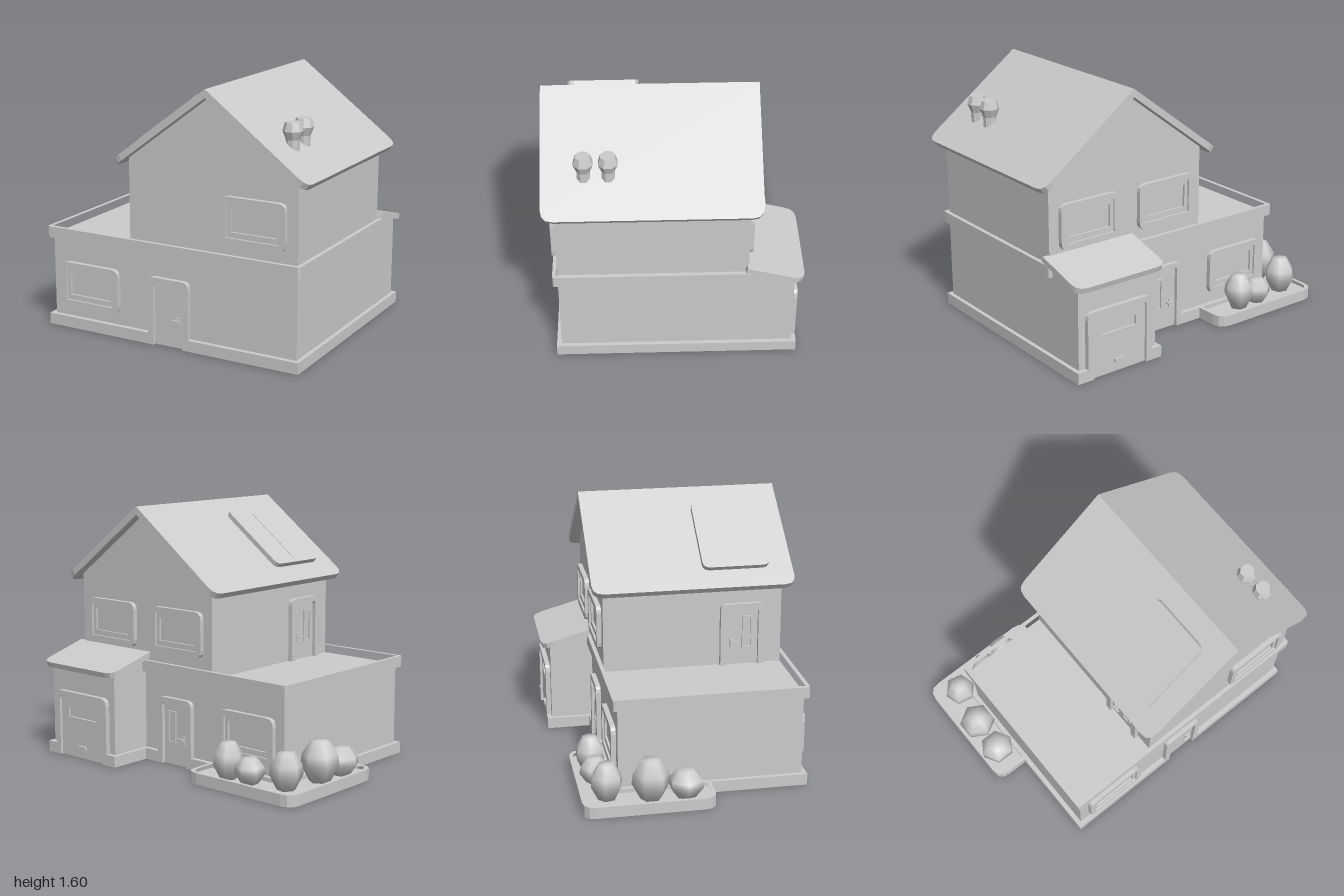
import * as THREE from 'three';

const mat = new THREE.MeshStandardMaterial({ color: 0xcccccc });
const smoothMat = new THREE.MeshStandardMaterial({ color: 0xcccccc, side: THREE.DoubleSide });

function add(parent, name, geo, x = 0, y = 0, z = 0) {
  const m = new THREE.Mesh(geo, mat);
  m.name = name;
  m.position.set(x, y, z);
  parent.add(m);
  return m;
}

function group(parent, name, x = 0, y = 0, z = 0, ry = 0) {
  const g = new THREE.Group();
  g.name = name;
  g.position.set(x, y, z);
  g.rotation.y = ry;
  parent.add(g);
  return g;
}

const box = (w, h, d) => new THREE.BoxGeometry(w, h, d);

// Outline through points [x, y, cornerRadius]
function outline(pts, path = new THREE.Shape()) {
  const toward = (p, q, r) => {
    const k = r / Math.hypot(q[0] - p[0], q[1] - p[1]);
    return [p[0] + (q[0] - p[0]) * k, p[1] + (q[1] - p[1]) * k];
  };
  pts.forEach((p, i) => {
    const r = p[2] || 0;
    const a = toward(p, pts[(i + pts.length - 1) % pts.length], r);
    const b = toward(p, pts[(i + 1) % pts.length], r);
    if (i) path.lineTo(...a); else path.moveTo(...a);
    if (r) path.quadraticCurveTo(p[0], p[1], ...b);
  });
  path.closePath();
  return path;
}

// Rectangle with bottom radius rb and top radius rt
const rect = (x0, y0, x1, y1, rb = 0, rt = rb) => [[x0, y0, rb], [x1, y0, rb], [x1, y1, rt], [x0, y1, rt]];

function extrude(pts, depth, holes = []) {
  const s = outline(pts);
  s.holes = holes.map(h => outline(h, new THREE.Path()));
  return new THREE.ExtrudeGeometry(s, { depth, bevelEnabled: false, curveSegments: 3 });
}

// Horizontal plate from a plan outline in [x, z, radius]
function plate(pts, depth, holes = []) {
  const flip = l => l.map(([x, z, r]) => [x, -z, r]);
  return extrude(flip(pts), depth, holes.map(flip)).rotateX(-Math.PI / 2);
}

// Window facing +z, centred on its own origin
function addWindow(parent, x, y, z, ry = 0) {
  const g = group(parent, 'window', x, y, z, ry);
  add(g, 'windowFrame', extrude(rect(-0.208, -0.14, 0.208, 0.14, 0.045), 0.03, [rect(-0.17, -0.103, 0.17, 0.103)]));
  add(g, 'windowSash', extrude(rect(-0.17, -0.103, 0.17, 0.103), 0.017, [rect(-0.145, -0.07, 0.145, 0.07)]));
  add(g, 'windowGlass', box(0.3, 0.15, 0.006));
}

// Door facing +z, standing on its own origin
function addDoor(parent, x, y, z, ry, side, glazed) {
  const g = group(parent, 'door', x, y, z, ry);
  add(g, 'doorFrame', extrude([[-0.14, 0], [-0.1, 0], [-0.1, 0.39, 0.02], [0.1, 0.39, 0.02],
    [0.1, 0], [0.14, 0], [0.14, 0.425, 0.04], [-0.14, 0.425, 0.04]], 0.03));
  add(g, 'doorPanel', box(0.2, 0.39, 0.01), 0, 0.195, 0.003);
  add(g, 'handlePlate', box(0.03, 0.055, 0.012), side * 0.062, 0.165, 0.012);
  add(g, 'handleLever', box(0.05, 0.014, 0.012), side * 0.048, 0.172, 0.026);
  add(g, 'handleStem', box(0.014, 0.014, 0.02), side * 0.062, 0.172, 0.02);
  if (glazed) {
    const c = -side * 0.035;
    add(g, 'doorLight', extrude(rect(c - 0.035, 0.13, c + 0.035, 0.34), 0.012,
      [rect(c - 0.02, 0.145, c + 0.02, 0.325)]), 0, 0, 0.006);
  }
}

export function createModel() {
  const house = new THREE.Group();
  house.name = 'house';

  // Plinth, notched where the ground floor doors stand
  add(house, 'plinth', plate([
    [-0.79, 0.72], [-0.065, 0.72], [-0.065, 0.69], [0.215, 0.69], [0.215, 0.72], [0.94, 0.72],
    [0.94, -0.735], [0.868, -0.735], [0.868, -0.705], [0.408, -0.705], [0.408, -0.735], [0.335, -0.735],
    [0.335, -0.46], [0.23, -0.46], [0.23, -0.43], [-0.05, -0.43], [-0.05, -0.46], [-0.79, -0.46]], 0.07));

  // Ground floor, parapet band and upper floor with gables
  add(house, 'groundFloor', box(1.675, 0.585, 1.12), 0.0775, 0.2925, 0.13);
  add(house, 'parapetBand', plate(rect(-0.79, -0.46, 0.94, 0.72, 0.015), 0.07,
    [rect(-0.765, -0.435, 0.915, 0.695)]), 0, 0.565);
  add(house, 'upperFloor', extrude([[-0.2, 0.57], [0.915, 0.57], [0.915, 1.135], [0.357, 1.555], [-0.2, 1.135]], 1.12), 0, 0, -0.43);

  // Main roof: two sloping slabs, the left one carrying the skylight
  const pitch = Math.atan(0.748);
  for (const s of [1, -1]) {
    const slope = group(house, s > 0 ? 'leftRoof' : 'rightRoof', 0.357, 1.595, 0);
    slope.rotation.z = -s * pitch;
    add(slope, 'roofSlab', plate([[0, -0.5], [s * 0.802, -0.5, 0.07], [s * 0.802, 0.76, 0.07], [0, 0.76]], 0.04), 0, -0.04);
    if (s < 0) {
      add(slope, 'skylightFrame', plate(rect(-0.667, 0.195, -0.146, 0.615, 0.045), 0.03,
        [rect(-0.632, 0.227, -0.185, 0.391), rect(-0.632, 0.419, -0.185, 0.583)]));
      add(slope, 'skylightGlass', box(0.46, 0.012, 0.37), -0.408, 0.004, 0.405);
    }
  }

  // Chimney pots
  const pot = [[0, 1.2], [0.04, 1.2], [0.04, 1.31], [0.06, 1.36], [0.045, 1.41], [0, 1.41]].map(p => new THREE.Vector2(...p));
  for (const z of [0.375, 0.515]) {
    const g = new THREE.LatheGeometry(pot, 8, Math.PI / 8).toNonIndexed();
    g.computeVertexNormals();
    add(house, 'chimneyPot', g, 0.785, 0, z);
  }

  // Garage extension at the back, with a lean-to roof
  add(house, 'garageWalls', extrude([[0.4, 0], [0.705, 0], [0.705, 0.577], [0.4, 0.66]], 0.555)
    .rotateY(Math.PI / 2), 0.36, 0, 0);
  const lean = group(house, 'garageRoof', 0.637, 0.69, -0.42);
  lean.rotation.x = -0.27;
  add(lean, 'garageRoofSlab', plate([[-0.318, -0.355, 0.07], [0.318, -0.355, 0.07], [0.318, 0], [-0.318, 0]], 0.035), 0, -0.035);

  // Garage door
  const gd = group(house, 'garageDoor', 0.638, 0, -0.705, Math.PI);
  add(gd, 'garageDoorFrame', extrude([[-0.23, 0], [-0.19, 0], [-0.19, 0.385, 0.02], [0.19, 0.385, 0.02],
    [0.19, 0], [0.23, 0], [0.23, 0.42, 0.045], [-0.23, 0.42, 0.045]], 0.03));
  add(gd, 'garageDoorPanel', extrude(rect(-0.19, 0, 0.19, 0.385), 0.014, [rect(-0.125, 0.255, 0.125, 0.315)]));
  add(gd, 'garageDoorHandle', box(0.07, 0.022, 0.016), 0, 0.07, 0.02);

  // Windows
  addWindow(house, -0.487, 0.283, 0.69);
  addWindow(house, 0.638, 0.845, 0.69);
  for (const [x, y] of [[-0.487, 0.283], [0.64, 0.845], [0.075, 0.845]]) addWindow(house, x, y, -0.43, Math.PI);

  // Front, back and roof terrace doors
  addDoor(house, 0.075, 0, 0.69, 0, 1, false);
  addDoor(house, 0.09, 0, -0.43, Math.PI, 1, true);
  addDoor(house, -0.2, 0.56, 0.44, -Math.PI / 2, -1, true);

  // Planting bed wrapping the back right corner
  const bed = group(house, 'plantingBed');
  add(bed, 'bedSoil', plate(rect(-0.985, -0.65, -0.215, 0.11, 0.07), 0.045));
  add(bed, 'bedRim', plate(rect(-1, -0.665, -0.2, 0.125, 0.08), 0.07,
    [rect(-0.977, -0.642, -0.223, 0.102, 0.065)]));

  // Shrubs: x, z, radius, top height, turn
  const shrubs = [[-0.84, -0.51, 0.1, 0.27, 0.3], [-0.6, -0.55, 0.092, 0.2, 0.1], [-0.44, -0.555, 0.095, 0.27, 0.5],
    [-0.885, -0.255, 0.115, 0.297, 0], [-0.885, -0.045, 0.11, 0.212, 0.52]];
  for (const [x, z, r, top, turn] of shrubs) {
    const h = top - 0.04;
    const profile = [[0, 0], [0.55, 0.03], [1, 0.42], [0.93, 0.66], [0.48, 0.99], [0, 1]]
      .map(([a, b]) => new THREE.Vector2(a * r, b * h));
    const shrub = add(bed, 'shrub', new THREE.LatheGeometry(profile, 6), x, 0.04, z);
    shrub.material = smoothMat;
    shrub.rotation.y = turn;
  }
  return house;
}
